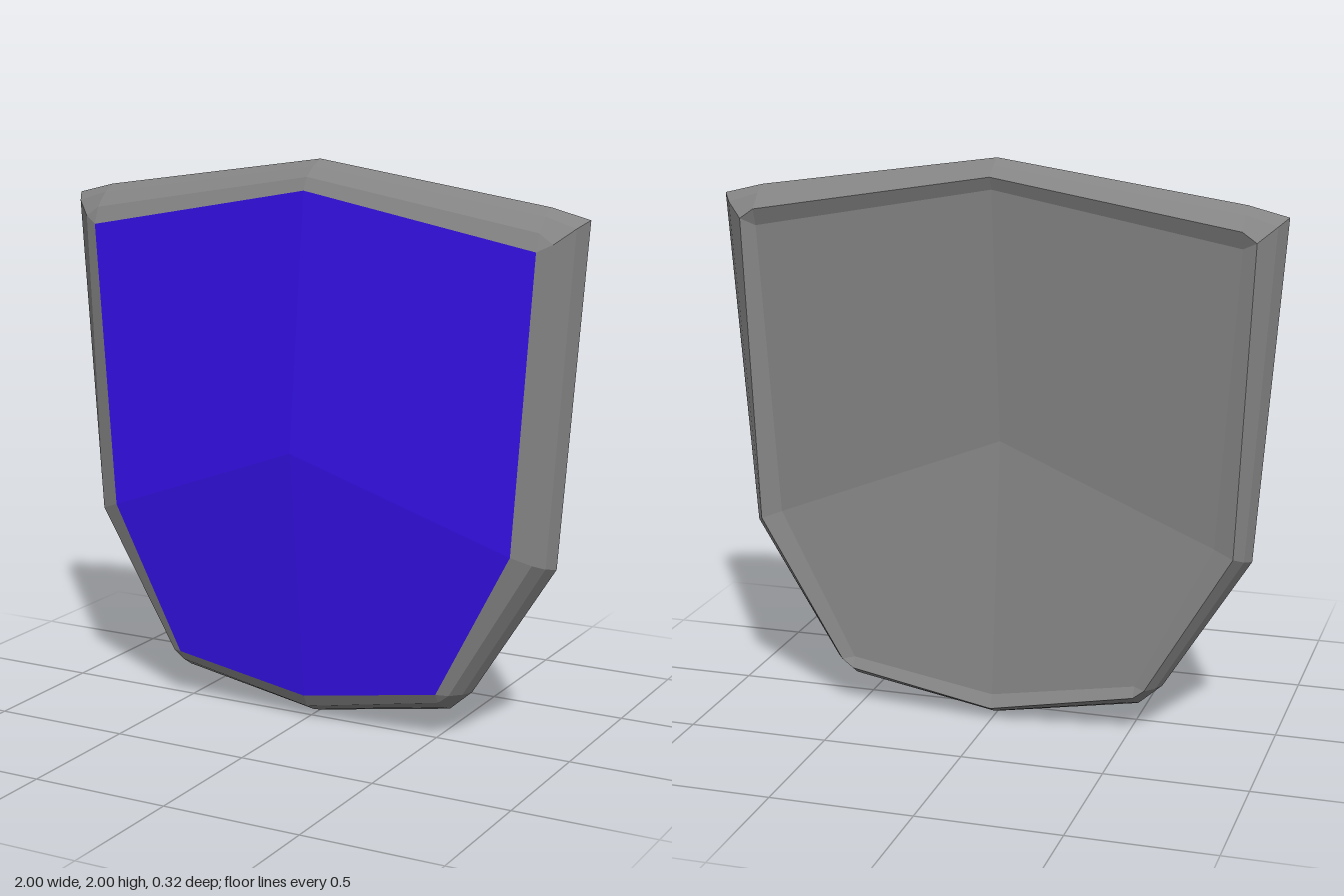
import * as THREE from 'three';

// Half outlines, top centre -> left side -> bottom centre
const crest = [[0, 2], [0.86, 1.875], [1, 1.84], [0.91, 0.65], [0.605, 0.165], [0.52, 0.09], [0, 0]];
const shoulder = [[0, 1.98], [0.86, 1.85], [0.97, 1.815], [0.89, 0.66], [0.59, 0.168], [0.52, 0.11], [0, 0.018]];
const lip = [[0, 1.945], [0.86, 1.8], [0.91, 1.765], [0.86, 0.68], [0.56, 0.173], [0.52, 0.142], [0, 0.044]];
const inner = [[0, 1.9], [0.86, 1.74], [0.86, 1.74], [0.79, 0.705], [0.52, 0.178], [0.52, 0.178], [0, 0.09]];

// Full loop at depth z, mirrored about x = 0
function loop(half, z) {
  const mirrored = half.slice(1, -1).reverse().map(([x, y]) => [-x, y]);
  return [...half, ...mirrored].map(([x, y]) => new THREE.Vector3(x, y, z));
}

// Mesh of four-cornered facets, each shaded evenly with one normal
function facetMesh(name, quads, color) {
  const points = [], normals = [];
  for (const [a, b, c, d] of quads) {
    const normal = c.clone().sub(a).cross(d.clone().sub(b));
    if (normal.length() < 1e-6) continue;
    normal.normalize();
    for (const p of [a, b, c, a, c, d]) {
      points.push(p);
      normals.push(normal.x, normal.y, normal.z);
    }
  }
  const geometry = new THREE.BufferGeometry().setFromPoints(points);
  geometry.setAttribute('normal', new THREE.Float32BufferAttribute(normals, 3));
  const mesh = new THREE.Mesh(geometry, new THREE.MeshStandardMaterial({ color }));
  mesh.name = name;
  return mesh;
}

// Four panel facets meeting at a centre point: two above, two below
function panelQuads(edge, centre) {
  return [[0, 2, 3], [3, 4, 6], [6, 8, 9], [9, 10, 0]]
    .map((ids) => [centre, ...ids.map((i) => edge[i])]);
}

export function createModel() {
  const shield = new THREE.Group();
  shield.name = 'shield';
  const metal = 0x848484, blue = 0x3410e4;

  const frontEdge = loop(inner, 0.058);
  const backEdge = loop(inner, -0.135);

  // Bevelled rim, skinned from the front inner edge round to the back
  const rings = [
    frontEdge, loop(lip, 0.035), loop(shoulder, -0.015), loop(crest, -0.065),
    loop(shoulder, -0.11), loop(lip, -0.157), backEdge,
  ];
  const rim = [];
  for (let r = 0; r < rings.length - 1; r++) {
    const a = rings[r], b = rings[r + 1];
    for (let i = 0; i < a.length; i++) {
      const j = (i + 1) % a.length;
      rim.push([a[i], a[j], b[j], b[i]]);
    }
  }
  shield.add(facetMesh('rim', rim, metal));

  // Raised front face, wound to face forward
  const front = panelQuads(frontEdge, new THREE.Vector3(0, 1, 0.16));
  shield.add(facetMesh('frontPanel', front.map(([c, p, q, s]) => [c, s, q, p]), blue));

  // Hollow back face
  const back = panelQuads(backEdge, new THREE.Vector3(0, 1, -0.035));
  shield.add(facetMesh('backPanel', back, metal));

  return shield;
}
